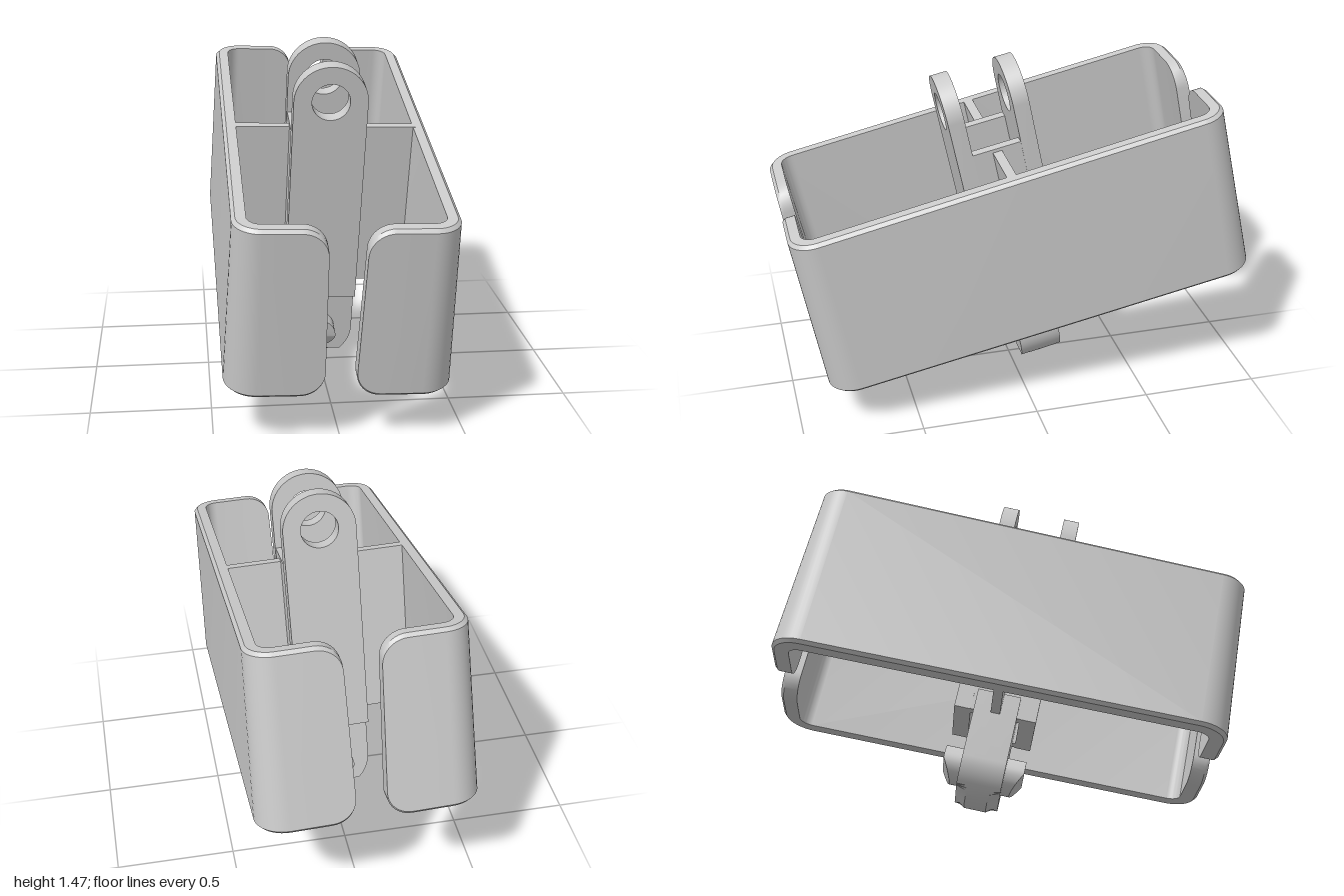
import * as THREE from 'three';
import { toCreasedNormals } from 'three/addons/utils/BufferGeometryUtils.js';
import { ConvexGeometry } from 'three/addons/geometries/ConvexGeometry.js';

const grey = new THREE.MeshStandardMaterial({ color: 0xcccccc });

function add(parent, name, geometry, x = 0, y = 0, z = 0) {
  const mesh = new THREE.Mesh(geometry, grey);
  mesh.name = name;
  mesh.position.set(x, y, z);
  parent.add(mesh);
  return mesh;
}

// One C-shaped half of the clamp: a side wall whose ends wrap into rounded tabs.
function halfShell(s) {
  const tabRadius = 0.1, bevel = 0.014, steps = 10;
  const stations = []; // d: distance from tab edge (tab only), phi: wall direction, drop: rim lowering
  for (let i = 0; i <= steps; i++) {
    const a = (i / steps) * Math.PI / 2;
    stations.push({ d: tabRadius * (1 - Math.cos(a)), phi: Math.PI / 2, drop: tabRadius * (1 - Math.sin(a)) });
  }
  for (let i = 0; i <= steps; i++) stations.push({ phi: (1 - i / steps) * Math.PI / 2, drop: 0 });
  const path = [
    ...stations.map((p) => ({ ...p, e: 1 })),
    ...stations.slice().reverse().map((p) => ({ ...p, e: -1 })),
  ];

  const pos = [], idx = [], n = 6;
  for (const p of path) {
    const L = 0.375 - 0.01 * p.e - p.drop;
    const point = (inset, y) => {
      const w = 0.02 * (0.5 - y / 0.76); // outer faces flare towards the bottom
      const r = inset === 1 ? 0.055 : 0.11 + w - inset;
      const cx = p.d === undefined ? 0.325 : 0.076 - 0.8 * w + p.d;
      pos.push(s * (cx + r * Math.cos(p.phi)), y, p.e * (0.82 + r * Math.sin(p.phi)));
    };
    point(0, -L + bevel); point(0, L - bevel); point(bevel, L);
    point(1, L); point(1, -L); point(bevel, -L);
  }
  const tri = (a, b, c) => (s > 0 ? idx.push(a, b, c) : idx.push(a, c, b));
  for (let j = 0; j < path.length - 1; j++) {
    for (let i = 0; i < n; i++) {
      const a = j * n + i, b = j * n + (i + 1) % n;
      tri(a, a + n, b + n);
      tri(a, b + n, b);
    }
  }
  const last = (path.length - 1) * n;
  for (let i = 1; i < n - 1; i++) {
    tri(0, i, i + 1);
    tri(last, last + i + 1, last + i);
  }
  const g = new THREE.BufferGeometry();
  g.setAttribute('position', new THREE.Float32BufferAttribute(pos, 3));
  g.setIndex(idx);
  return toCreasedNormals(g, 0.6);
}

// Plate with one round end, centred on z; the round end is at the top.
function roundedPlate(width, bottom, top, depth, hole, steps = 1) {
  const r = width / 2, shape = new THREE.Shape();
  shape.moveTo(-r, bottom);
  shape.lineTo(r, bottom);
  shape.lineTo(r, top - r);
  shape.absarc(0, top - r, r, 0, Math.PI, false);
  shape.closePath();
  if (hole) {
    const h = new THREE.Path();
    h.absarc(0, top - r, hole, 0, Math.PI * 2, true);
    shape.holes.push(h);
  }
  const g = new THREE.ExtrudeGeometry(shape, { depth, steps, bevelEnabled: false, curveSegments: 20 });
  return g.translate(0, 0, -depth / 2);
}

// Lower hinge tongue, with the front and back edges of its round end cut off flat.
function tongueGeometry() {
  const g = roundedPlate(0.32, 0.28, 0.745, 0.185, 0, 4).rotateZ(Math.PI);
  const p = g.attributes.position;
  for (let i = 0; i < p.count; i++) {
    const limit = -0.745 + Math.max(0, Math.abs(p.getZ(i)) - 0.046);
    p.setY(i, Math.max(p.getY(i), limit));
  }
  return toCreasedNormals(g, 0.5);
}

// Hinge pin whose ends slope back below the middle.
function pinGeometry() {
  const points = [];
  for (let i = 0; i < 48; i++) {
    const a = (i / 48) * Math.PI * 2, y = 0.08 * Math.sin(a);
    const z = 0.172 - 0.55 * Math.max(0, -y - 0.0001);
    for (const e of [-1, 1]) points.push(new THREE.Vector3(0.08 * Math.cos(a), y, e * z));
  }
  return toCreasedNormals(new ConvexGeometry(points), 0.5);
}

export function createModel() {
  const model = new THREE.Group();
  model.name = 'clampBracket';
  const body = new THREE.Group();
  body.name = 'tiltedBody';
  body.position.set(0.006, 0.7425, 0.015);
  body.rotation.set(0.206, 0, -0.0286);
  model.add(body);

  // Clamp halves and the sides of the hollow centre column
  for (const s of [1, -1]) {
    const side = s > 0 ? 'left' : 'right';
    add(body, side + 'Shell', halfShell(s));
    add(body, side + 'Web', new THREE.BoxGeometry(0.27, 0.75, 0.04), s * 0.255, 0, 0);
    add(body, side + 'ColumnWall', new THREE.BoxGeometry(0.042, 0.765, 0.22), s * 0.132, 0.007, 0);
  }

  // Upper hinge lugs, running down through the clamp
  for (const e of [1, -1]) {
    add(body, e > 0 ? 'frontLug' : 'backLug',
      toCreasedNormals(roundedPlate(0.31, -0.377, 0.708, 0.07, 0.08), 0.5), 0, 0, e * 0.14);
  }

  // Lower hinge
  add(body, 'lowerTongue', tongueGeometry());
  add(body, 'hingePin', pinGeometry(), 0, -0.582, 0);
  return model;
}
